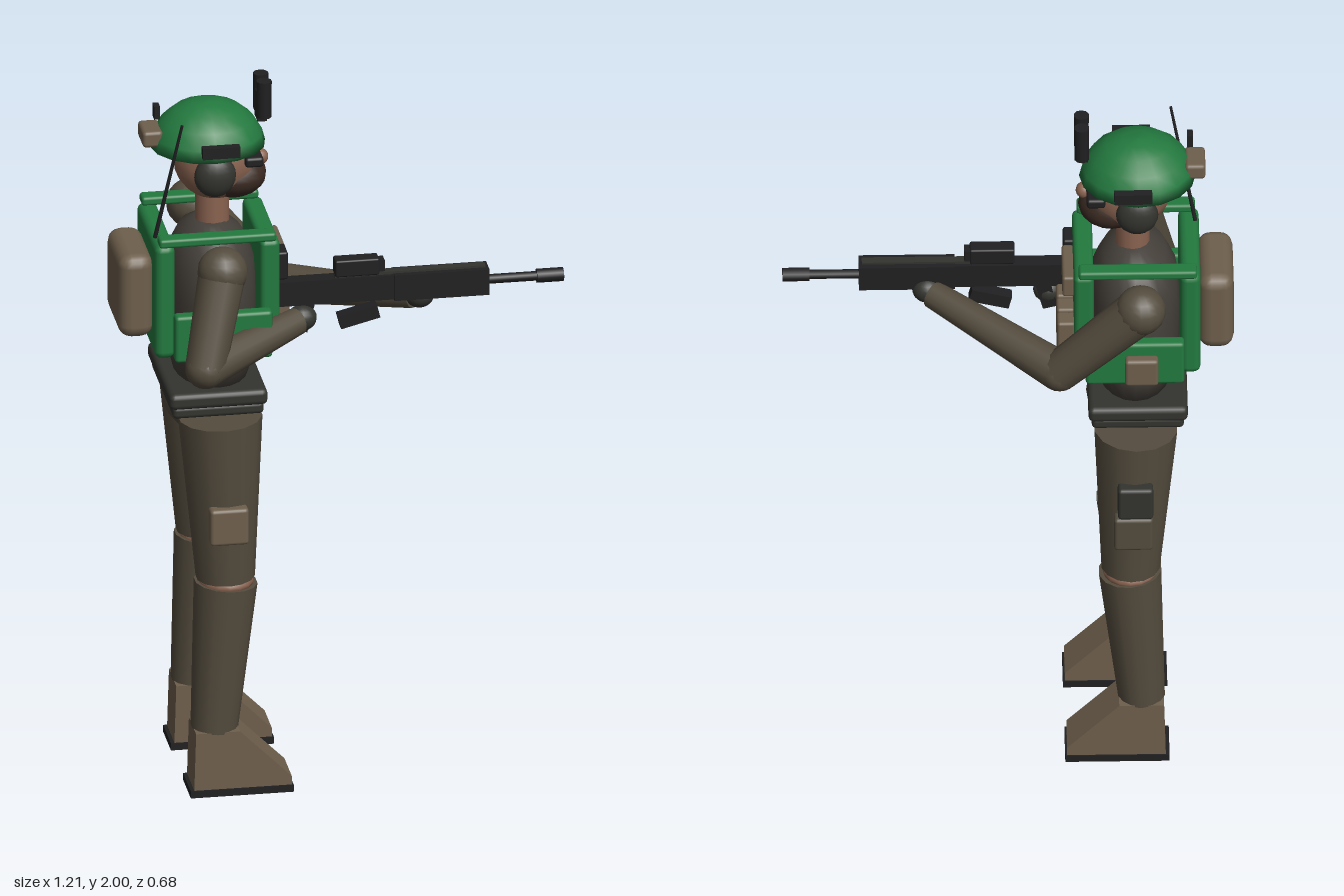
import * as THREE from 'three';
import { RoundedBoxGeometry } from 'three/addons/geometries/RoundedBoxGeometry.js';

const mat = (color) => new THREE.MeshStandardMaterial({ color, roughness: 0.9 });
const V = (x, y, z) => new THREE.Vector3(x, y, z);

export function createModel() {
  const root = new THREE.Group();
  const cloth = mat(0x544c3e), shirt = mat(0x45403a), tan = mat(0x6e5f4c), green = mat(0x23793f);
  const black = mat(0x202022), dark = mat(0x33342f), skin = mat(0x8a6350), beardMat = mat(0x3a2a22);
  const C = -0.035, X = -0.34; // body centre line

  const add = (name, geo, material, x = 0, y = 0, z = 0, parent = root) => {
    const m = new THREE.Mesh(geo, material);
    m.name = name;
    m.position.set(x, y, z);
    parent.add(m);
    return m;
  };
  // Box given by its limits on each axis, optionally rounded
  const box = (name, material, x0, x1, y0, y1, z0, z1, r = 0) => {
    const w = x1 - x0, h = y1 - y0, d = z1 - z0;
    const g = r ? new RoundedBoxGeometry(w, h, d, 2, r) : new THREE.BoxGeometry(w, h, d);
    return add(name, g, material, (x0 + x1) / 2, (y0 + y1) / 2, (z0 + z1) / 2);
  };
  const ball = (name, material, x, y, z, rx, ry = rx, rz = rx) => {
    const m = add(name, new THREE.SphereGeometry(1, 16, 12), material, x, y, z);
    m.scale.set(rx, ry, rz);
    return m;
  };
  // Tapered limb from a to b
  const limb = (name, material, a, b, ra, rb, sides = 14) => {
    const dir = b.clone().sub(a);
    const m = add(name, new THREE.CylinderGeometry(rb, ra, dir.length(), sides), material);
    m.position.copy(a).addScaledVector(dir, 0.5);
    m.quaternion.setFromUnitVectors(V(0, 1, 0), dir.normalize());
    return m;
  };

  // Legs and boots
  const bootShape = new THREE.Shape([[-0.42, 0.02], [-0.155, 0.02], [-0.155, 0.045], [-0.295, 0.185], [-0.415, 0.185]]
    .map(([x, y]) => new THREE.Vector2(x, y)));
  for (const s of [1, -1]) {
    const z = C + s * 0.163;
    box('bootSole', black, -0.43, -0.15, 0, 0.02, z - 0.064, z + 0.064);
    const boot = new THREE.ExtrudeGeometry(bootShape, { depth: 0.12, bevelEnabled: false });
    add('boot', boot, tan, 0, 0, z - 0.06);
    limb('lowerLeg', cloth, V(-0.356, 0.18, z), V(-0.325, 0.605, z), 0.064, 0.086);
    ball('knee', skin, -0.325, 0.61, z, 0.076, 0.035, 0.08);
    limb('thigh', cloth, V(-0.326, 0.62, z), V(X, 1.09, z), 0.08, 0.114);
    // Thigh pocket
    const o = z + s * 0.096;
    box('thighPouch', s > 0 ? tan : cloth, -0.385, -0.28, 0.755, 0.86, o - 0.022, o + 0.022, 0.01);
  }
  box('upperThighPouch', dark, -0.385, -0.29, 0.87, 0.97, -0.33, -0.285, 0.01);

  // Hips and belt
  ball('pelvis', cloth, X, 1.09, C, 0.13, 0.118, 0.118);
  box('beltLower', dark, -0.47, -0.222, 1.09, 1.125, C - 0.178, C + 0.178, 0.012);
  box('belt', dark, -0.48, -0.213, 1.12, 1.165, C - 0.19, C + 0.19, 0.015);

  // Torso with rounded shoulders
  const torsoProfile = [[0, 1.15], [0.15, 1.16], [0.18, 1.24], [0.185, 1.4], [0.175, 1.5], [0.13, 1.565], [0.06, 1.6], [0, 1.6]]
    .map(([r, y]) => new THREE.Vector2(r, y));
  add('torso', new THREE.LatheGeometry(torsoProfile, 20), shirt, X, 0, C).scale.set(0.66, 1, 1);

  // Plate carrier
  box('frontPlate', green, -0.228, -0.175, 1.26, 1.585, C - 0.155, C + 0.155, 0.014);
  box('backPlate', green, -0.515, -0.46, 1.26, 1.59, C - 0.16, C + 0.16, 0.02);
  for (const s of [1, -1]) {
    const z = C + s * 0.146;
    box('shoulderStrap', green, -0.505, -0.187, 1.588, 1.613, z - 0.023, z + 0.023, 0.008);
    const p = C + s * 0.195;
    box('sidePanel', green, -0.47, -0.205, 1.27, 1.405, p - 0.02, p + 0.02, 0.01);
  }
  box('sidePouch', tan, -0.4, -0.31, 1.285, 1.37, -0.28, -0.245, 0.01);
  box('chestPouch', tan, -0.178, -0.145, 1.465, 1.53, -0.115, 0.035, 0.008);
  box('chestRadio', black, -0.18, -0.15, 1.46, 1.54, 0.035, 0.1, 0.006);
  for (let i = 0; i < 3; i++) {
    const z = -0.145 + i * 0.062;
    box('magazinePouch', tan, -0.178, -0.13, 1.28, 1.42, z - 0.028, z + 0.028, 0.008);
  }
  box('backpack', tan, -0.605, -0.51, 1.305, 1.545, C - 0.118, C + 0.118, 0.035);
  limb('antenna', black, V(-0.505, 1.59, 0.055), V(-0.44, 1.935, 0.108), 0.006, 0.004, 6);

  // Arms
  const arm = (shoulder, elbow, hand, gloveEnd) => {
    ball('shoulder', cloth, ...shoulder.toArray(), 0.068);
    limb('upperArm', cloth, shoulder, elbow, 0.064, 0.055);
    ball('elbow', cloth, ...elbow.toArray(), 0.055);
    limb('forearm', cloth, elbow, hand, 0.055, 0.038);
    ball('glove', dark, ...gloveEnd.toArray(), 0.04, 0.036, 0.036);
  };
  arm(V(-0.345, 1.54, 0.198), V(-0.405, 1.295, 0.28), V(-0.125, 1.335, 0.095), V(-0.11, 1.34, 0.085));
  arm(V(-0.352, 1.54, -0.272), V(-0.135, 1.308, -0.235), V(0.2, 1.365, 0.035), V(0.215, 1.37, 0.05));

  // Neck and head
  limb('neck', skin, V(-0.335, 1.56, C), V(-0.335, 1.72, C), 0.046, 0.046);
  ball('head', skin, -0.325, 1.775, C, 0.115, 0.115, 0.1);
  ball('beard', beardMat, -0.278, 1.725, C, 0.09, 0.063, 0.085);
  ball('nose', skin, -0.205, 1.768, C, 0.023);
  box('glasses', black, -0.26, -0.21, 1.778, 1.806, C - 0.1, C + 0.1, 0.008);
  for (const s of [1, -1]) {
    ball('earMuff', dark, -0.345, 1.768, C + s * 0.112, 0.057, 0.06, 0.036);
    const z = C + s * 0.143;
    box('helmetRail', black, -0.385, -0.283, 1.835, 1.866, z - 0.012, z + 0.012);
  }

  // Helmet
  const domeProfile = [[0, 1.82], [0.154, 1.818], [0.146, 1.85], [0.123, 1.89], [0.085, 1.922], [0.04, 1.938], [0, 1.941]]
    .map(([r, y]) => new THREE.Vector2(r, y));
  add('helmet', new THREE.LatheGeometry(domeProfile, 16), green, X - 0.008, 0, C).scale.set(1.02, 1, 0.95);
  box('helmetBattery', tan, -0.53, -0.475, 1.832, 1.878, C - 0.046, C + 0.046, 0.01);
  box('strobe', black, -0.497, -0.481, 1.908, 1.945, C, C + 0.03);

  // Goggles flipped up on the helmet
  box('goggleMount', black, -0.215, -0.19, 1.88, 1.96, C - 0.025, C + 0.025);
  for (const s of [1, -1]) {
    const z = C + s * 0.028;
    limb('goggleTube', black, V(-0.198, 1.895, z), V(-0.198, 2, z), 0.02, 0.021, 10);
  }

  // Rifle
  const Z = 0.07, Y = 1.41;
  box('receiver', black, -0.2, 0.15, 1.378, 1.448, Z - 0.022, Z + 0.022);
  box('handguard', black, 0.14, 0.398, 1.376, 1.45, Z - 0.029, Z + 0.029);
  box('topRail', dark, -0.02, 0.39, 1.446, 1.456, Z - 0.012, Z + 0.012);
  limb('barrel', black, V(0.39, Y, Z), V(0.54, Y, Z), 0.013, 0.013, 10);
  limb('muzzle', black, V(0.53, Y, Z), V(0.603, Y, Z), 0.019, 0.019, 10);
  box('optic', black, -0.02, 0.1, 1.452, 1.5, Z - 0.022, Z + 0.022, 0.005);
  box('opticRing', black, 0.097, 0.115, 1.46, 1.492, Z - 0.016, Z + 0.016);
  box('pistolGrip', black, -0.125, -0.085, 1.3, 1.385, Z - 0.017, Z + 0.017).rotation.z = -0.25;
  box('magazine', black, -0.01, 0.1, 1.312, 1.35, Z - 0.018, Z + 0.018).rotation.z = 0.25;

  return root;
}
